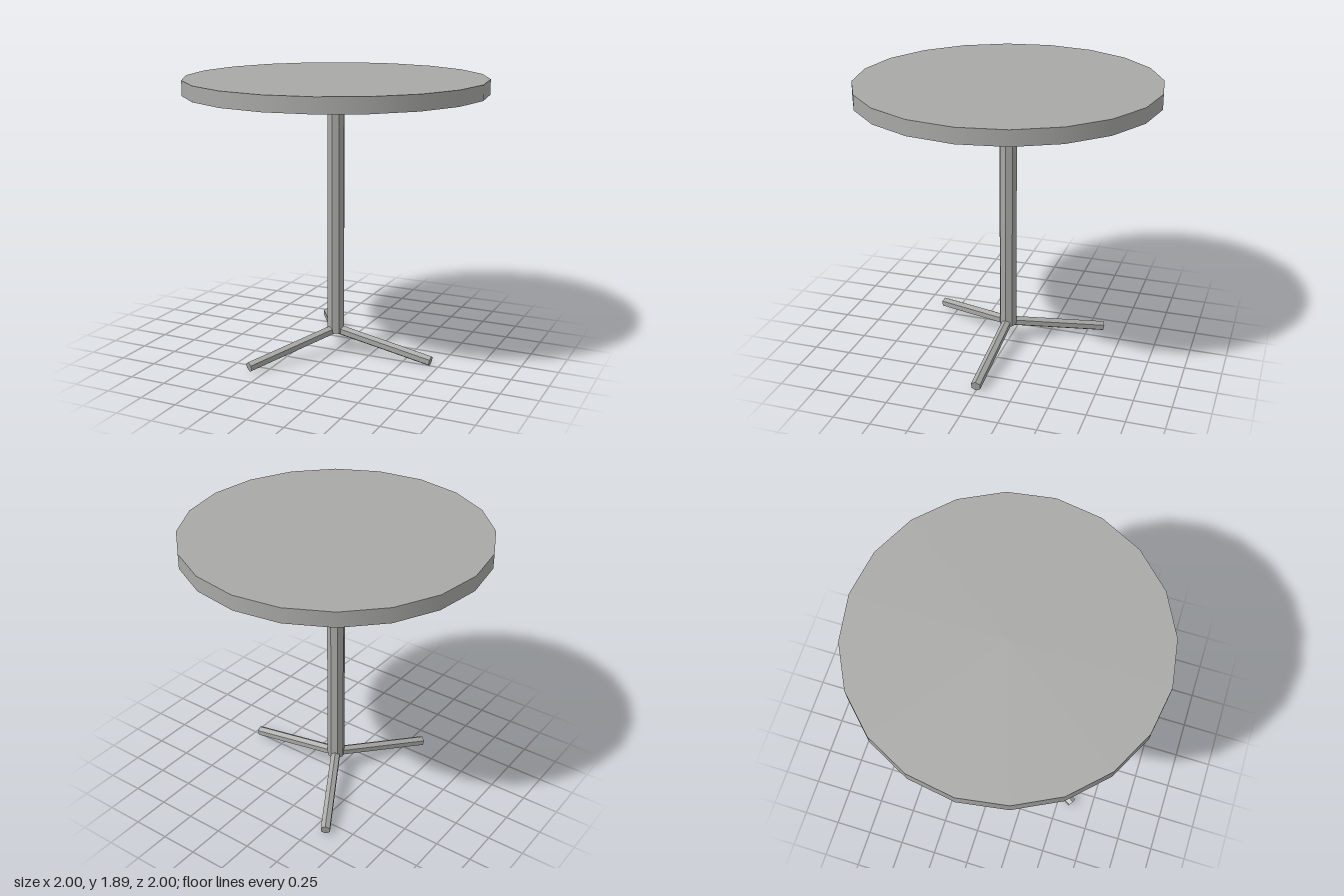
import * as THREE from 'three';

export function createModel() {
  const model = new THREE.Group();
  const grey = new THREE.MeshStandardMaterial({ color: 0xa8a8a6 });
  grey.name = 'grey';

  const add = (name, geometry) => {
    const mesh = new THREE.Mesh(geometry, grey);
    mesh.name = name;
    model.add(mesh);
    return mesh;
  };
  // Flat-faced prism standing on its axis
  const prism = (radius, length, sides) => {
    const geometry = new THREE.CylinderGeometry(radius, radius, length, sides).toNonIndexed();
    geometry.computeVertexNormals();
    return geometry;
  };

  // Round top with a smooth rim
  add('tableTop', new THREE.CylinderGeometry(1, 1, 0.1, 20)).position.y = 1.842;

  // Eight-sided column
  const bottom = 0.14, top = 1.8;
  add('column', prism(0.06, top - bottom, 8)).position.y = (top + bottom) / 2;

  // Three six-sided legs sloping down from the foot of the column
  const hubY = 0.161, footY = 0.0345, reach = 0.697;
  const length = Math.hypot(reach, hubY - footY);
  const legGeometry = prism(0.035, length, 6).rotateX(Math.PI / 2).translate(0, 0, length / 2);
  ['leftLeg', 'backRightLeg', 'frontRightLeg'].forEach((name, i) => {
    const leg = add(name, legGeometry);
    leg.position.y = hubY;
    leg.rotation.set(Math.atan2(hubY - footY, reach), Math.PI / 2 + (i * 2 * Math.PI) / 3, 0, 'YXZ');
  });

  return model;
}
